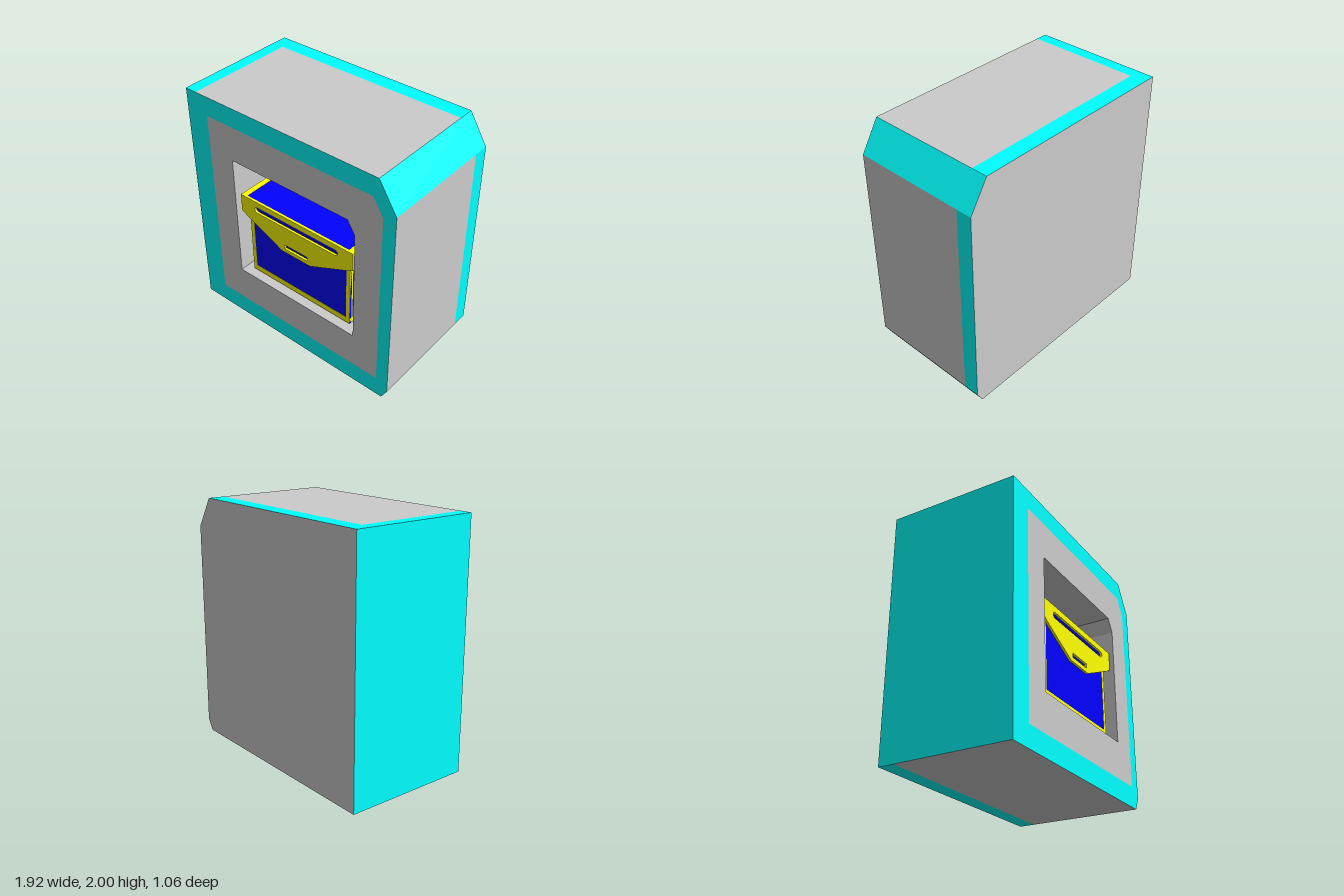
import * as THREE from 'three';

const GREY = 0xcccccc, CYAN = 0x00ffff, YELLOW = 0xffff00, BLUE = 0x0000ff;

function mesh(name, geometry, color, side = THREE.FrontSide) {
  const m = new THREE.Mesh(geometry, new THREE.MeshStandardMaterial({ color, side, flatShading: true }));
  m.name = name;
  return m;
}

// Flat convex panel from 3D corners, counter-clockwise from outside
function panel(name, color, corners) {
  const pos = [];
  for (let i = 1; i < corners.length - 1; i++) pos.push(...corners[0], ...corners[i], ...corners[i + 1]);
  const g = new THREE.BufferGeometry();
  g.setAttribute('position', new THREE.Float32BufferAttribute(pos, 3));
  g.computeVertexNormals();
  return mesh(name, g, color);
}

const outline = (pts, Type = THREE.Shape) => new Type(pts.map(([x, y]) => new THREE.Vector2(x, y)));

function block(name, color, w, h, d, x, y, z) {
  const m = mesh(name, new THREE.BoxGeometry(w, h, d), color);
  m.position.set(x, y, z);
  return m;
}

const F = 0.53, B = -0.53, SEAM = -0.4, CAVITY = -0.26;
// Cross-sections of the housing, its grey front field and the opening
const OUTER = [[-0.96, 0], [0.91, 0], [0.96, 0.09], [0.96, 1.76], [0.81, 2], [-0.96, 2]];
const FIELD = [[-0.76, 0.17], [0.855, 0.17], [0.855, 1.7], [0.77, 1.84], [-0.76, 1.84]];
const OPENING = [[-0.53, 0.475], [0.625, 0.475], [0.625, 1.44], [0.56, 1.545], [-0.53, 1.545]];

// Panel swept along z between two profile points
const swept = (name, color, [x0, y0], [x1, y1], zFront, zBack) =>
  panel(name, color, [[x0, y0, zFront], [x0, y0, zBack], [x1, y1, zBack], [x1, y1, zFront]]);

function createHousing() {
  const g = new THREE.Group();
  g.name = 'housing';

  // Front face: cyan frame around a grey field with the opening
  const ring = (outer, inner) => {
    const s = outline(outer);
    s.holes.push(outline(inner, THREE.Path));
    return new THREE.ShapeGeometry(s).translate(0, 0, F);
  };
  g.add(mesh('frontFrame', ring(OUTER, FIELD), CYAN));
  g.add(mesh('frontField', ring(FIELD, OPENING), GREY));
  g.add(panel('backPanel', GREY, OUTER.map(([x, y]) => [x, y, B]).reverse()));

  // Bottom, lower bevel and right wall: grey with a cyan band at the back
  ['bottom', 'lowerBevel', 'sideWall'].forEach((name, i) => {
    g.add(swept(name, GREY, OUTER[i], OUTER[i + 1], F, SEAM));
    g.add(swept(name + 'Band', CYAN, OUTER[i], OUTER[i + 1], SEAM, B));
  });
  g.add(swept('upperBevel', CYAN, OUTER[3], OUTER[4], F, B));
  g.add(swept('plainSideWall', CYAN, OUTER[5], OUTER[0], F, B));

  // Top: grey with a cyan band at one side and at the back
  g.add(swept('top', GREY, [0.81, 2], [-0.86, 2], F, SEAM));
  g.add(swept('topSideBand', CYAN, [-0.86, 2], [-0.96, 2], F, SEAM));
  g.add(swept('topBackBand', CYAN, [0.81, 2], [-0.96, 2], SEAM, B));

  // Recess behind the opening
  OPENING.forEach((p, i) =>
    g.add(swept('recessWall', GREY, OPENING[(i + 1) % OPENING.length], p, F, CAVITY)));
  g.add(panel('recessBack', GREY, OPENING.map(([x, y]) => [x, y, CAVITY])));
  return g;
}

// Handle slots cut through the end walls and flaps
function cutSlots(shape) {
  const long = new THREE.Path();
  long.absarc(0.38, 1.165, 0.025, -Math.PI / 2, Math.PI / 2);
  long.absarc(-0.38, 1.165, 0.025, Math.PI / 2, Math.PI * 1.5);
  long.closePath();
  const short = outline([[-0.11, 0.935], [0.115, 0.935], [0.115, 0.972], [-0.11, 0.972]], THREE.Path);
  shape.holes.push(long, short);
  return shape;
}

function createBin() {
  const g = new THREE.Group();
  g.name = 'bin';
  g.position.set(0.05, 0, 0.16);
  const W = 0.495, D = 0.31, Y0 = 0.5, TOP = 1.24;

  const flap = [[-0.545, TOP], [-0.545, 1.085], [-0.525, 1.08], [-0.495, 1.06], [-0.14, 0.9],
    [0.14, 0.9], [0.495, 1.06], [0.525, 1.08], [0.545, 1.085], [0.545, TOP]];
  const wall = [[-W, Y0], [W, Y0], [W, 1.22], [-W, 1.22]];
  const plate = (pts, depth) =>
    new THREE.ExtrudeGeometry(cutSlots(outline(pts)), { depth, bevelEnabled: false, curveSegments: 8 });

  // End walls, flaps and bottom edges at front and back
  for (const s of [1, -1]) {
    const end = mesh('endWall', plate(wall, 0.02), BLUE);
    end.position.z = s * (D - 0.012) - 0.01;
    const lidFlap = mesh('lidFlap', plate(flap, 0.02), YELLOW);
    lidFlap.position.z = s * 0.335 - 0.01;
    g.add(end, lidFlap);
    g.add(block('bottomEdge', YELLOW, 2 * W, 0.05, 0.035, 0, Y0 + 0.025, s * (D - 0.0175)));
  }

  // Side walls, edges and lid skirts at left and right
  for (const s of [1, -1]) {
    g.add(block('sideWall', BLUE, 0.02, 0.72, 2 * D - 0.03, s * (W - 0.012), 0.86, 0));
    g.add(block('sideBottomEdge', YELLOW, 0.035, 0.05, 2 * D, s * (W - 0.0175), Y0 + 0.025, 0));
    g.add(block('lidSkirt', YELLOW, 0.05, TOP - 1.085, 0.65, s * 0.52, (TOP + 1.085) / 2, 0));
    for (const t of [1, -1])
      g.add(block('cornerPost', YELLOW, 0.035, 0.72, 0.035, s * (W - 0.0175), 0.86, t * (D - 0.0175)));
  }

  // Floor and lid top
  g.add(block('floor', BLUE, 2 * W - 0.03, 0.02, 2 * D - 0.03, 0, Y0 + 0.012, 0));
  g.add(block('lidTop', BLUE, 0.99, 0.015, 0.65, 0, TOP - 0.01, 0));
  return g;
}

export function createModel() {
  const model = new THREE.Group();
  model.name = 'cabinetWithBin';
  model.add(createHousing(), createBin());
  return model;
}
